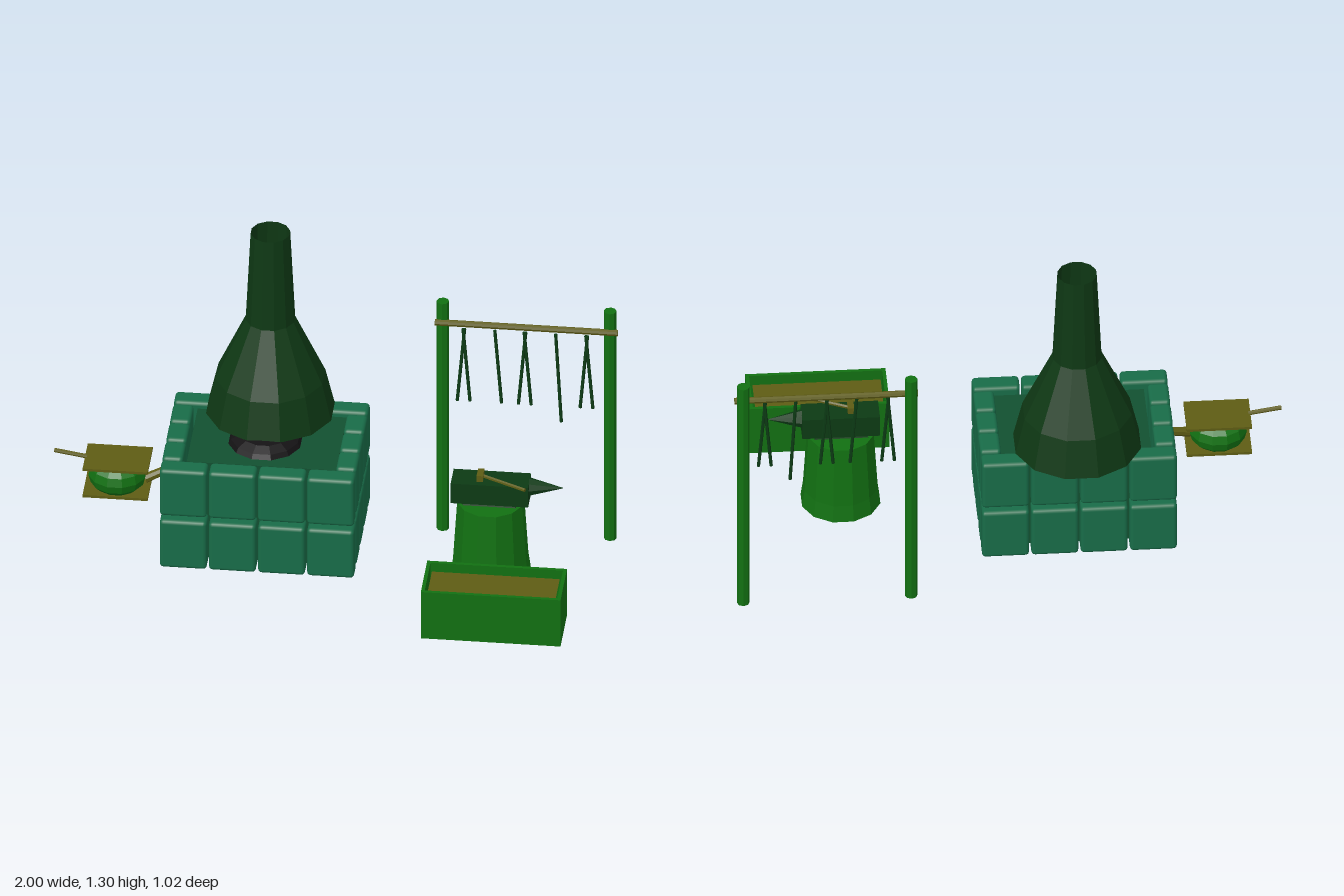
import * as THREE from 'three';
import { RoundedBoxGeometry } from 'three/addons/geometries/RoundedBoxGeometry.js';

const mat = (color, opts = {}) => {
  const m = new THREE.MeshStandardMaterial({ color });
  return Object.assign(m, opts);
};
const V = (x, y, z) => new THREE.Vector3(x, y, z);

export function createModel() {
  const root = new THREE.Group();
  const stone = mat(0x186c48);
  const wood = mat(0x127012, { flatShading: true });
  const plank = mat(0x5e5c14, { flatShading: true });
  const metal = mat(0x0c3a14, { flatShading: true });
  const hoodMat = mat(0x0e3814, { flatShading: true, side: THREE.DoubleSide });
  const coalMat = mat(0x141214, { flatShading: true });

  const group = (name) => {
    const g = new THREE.Group();
    g.name = name;
    root.add(g);
    return g;
  };
  const add = (parent, name, geo, material, x = 0, y = 0, z = 0) => {
    const m = new THREE.Mesh(geo, material);
    m.name = name;
    m.position.set(x, y, z);
    parent.add(m);
    return m;
  };
  // box given by its minimum and maximum corners
  const span = (parent, name, a, b, material, round = 0) => {
    const s = a.map((v, i) => b[i] - v);
    const geo = round ? new RoundedBoxGeometry(...s, 2, round) : new THREE.BoxGeometry(...s);
    return add(parent, name, geo, material, ...a.map((v, i) => (v + b[i]) / 2));
  };
  // round bar between two points
  const rod = (parent, name, a, b, r0, r1, material, sides = 8) => {
    const d = b.clone().sub(a);
    const m = add(parent, name, new THREE.CylinderGeometry(r1, r0, d.length(), sides), material);
    m.position.copy(a).add(b).multiplyScalar(0.5);
    m.quaternion.setFromUnitVectors(V(0, 1, 0), d.normalize());
    return m;
  };
  // turned shape from [radius, height] pairs
  const turned = (parts, sides) =>
    new THREE.LatheGeometry(parts.map((p) => new THREE.Vector2(...p)), sides, Math.PI / sides);

  // Hearth: two courses of rounded stones around a solid core
  const hearth = group('hearth');
  span(hearth, 'hearthCore', [-0.51, 0.12, -0.305], [0.03, 0.522, 0.05], mat(0x125030));
  for (const [y0, y1] of [[0.125, 0.325], [0.345, 0.54]]) {
    for (let i = 0; i < 4; i++) {
      const x = -0.598 + i * 0.1775;
      span(hearth, 'frontStone', [x, y0, 0.07], [x + 0.17, y1, 0.147], stone, 0.014);
      span(hearth, 'backStone', [x, y0, -0.39], [x + 0.17, y1, -0.315], stone, 0.014);
    }
    for (let i = 0; i < 3; i++) {
      const z = -0.306 + i * 0.125;
      span(hearth, 'leftStone', [0.03, y0, z], [0.105, y1, z + 0.118], stone, 0.014);
      span(hearth, 'rightStone', [-0.598, y0, z], [-0.523, y1, z + 0.118], stone, 0.014);
    }
  }

  // Heap of coal
  add(hearth, 'coal', turned([[0.135, 0], [0.125, 0.02], [0.09, 0.036], [0, 0.042]], 12),
    coalMat, -0.245, 0.52, -0.12);

  // Open smoke hood and chimney
  add(root, 'hood', turned([[0.234, 0.555], [0.2, 0.7], [0.09, 0.94], [0.072, 1.305]], 12),
    hoodMat, -0.245, 0, -0.287);

  // Bellows
  const bellows = group('bellows');
  for (const y of [0.345, 0.457]) {
    span(bellows, 'bellowsBoard', [-0.887, y - 0.005, -0.125], [-0.652, y + 0.005, 0.045], plank);
  }
  add(bellows, 'bellowsBag',
    turned([[0.075, 0.348], [0.098, 0.37], [0.106, 0.4], [0.098, 0.432], [0.075, 0.454]], 12),
    wood, -0.77, 0, -0.04);
  rod(bellows, 'bellowsHandle', V(-0.999, 0.48, -0.04), V(-0.88, 0.461, -0.04), 0.008, 0.008, plank);
  rod(bellows, 'bellowsNozzle', V(-0.67, 0.385, -0.035), V(-0.56, 0.425, -0.075), 0.018, 0.014, plank);

  // Stump
  const anvil = group('anvilStand');
  add(anvil, 'stump', turned([[0, 0.115], [0.146, 0.115], [0.137, 0.18], [0.122, 0.418], [0, 0.418]], 12),
    wood, 0.585, 0, 0.018);

  // Anvil: waisted foot, block and horn
  const foot = new THREE.CylinderGeometry(0.055, 0.07, 0.03, 4, 1);
  foot.rotateY(Math.PI / 4);
  foot.scale(2, 1, 1);
  add(anvil, 'anvilFoot', foot, metal, 0.585, 0.43, 0.02);
  span(anvil, 'anvilBlock', [0.446, 0.425, -0.03], [0.726, 0.508, 0.07], metal);
  rod(anvil, 'anvilHorn', V(0.725, 0.482, 0.018), V(0.847, 0.484, 0.018), 0.034, 0.001, metal, 8);

  // Hammer resting on the anvil
  const hammer = group('hammer');
  span(hammer, 'hammerHead', [0.537, 0.508, -0.003], [0.56, 0.533, 0.048], plank);
  rod(hammer, 'hammerHandle', V(0.54, 0.52, 0.015), V(0.718, 0.518, 0.1), 0.007, 0.007, plank, 6);

  // Tool rack
  const rack = group('toolRack');
  for (const x of [0.363, 0.968]) {
    add(rack, 'rackPost', new THREE.CylinderGeometry(0.023, 0.023, 0.967, 8), wood, x, 0.4835, -0.424);
  }
  rod(rack, 'rackRail', V(0.337, 0.888, -0.403), V(0.998, 0.888, -0.403), 0.012, 0.012, plank);
  for (const x of [0.443, 0.664, 0.887]) {
    for (const s of [-1, 1]) {
      rod(rack, 'tongsArm', V(x - s * 0.003, 0.878, -0.387), V(x + s * 0.023, 0.575, -0.381),
        0.006, 0.006, metal, 6);
    }
  }
  rod(rack, 'poker', V(0.555, 0.878, -0.387), V(0.58, 0.575, -0.381), 0.006, 0.006, metal, 6);
  rod(rack, 'longPoker', V(0.775, 0.878, -0.387), V(0.796, 0.51, -0.381), 0.006, 0.006, metal, 6);

  // Water trough: walls, thin floor seen from below, and the water
  const trough = group('trough');
  for (const z of [0.3, 0.498]) {
    span(trough, 'troughLongWall', [0.387, 0.125, z], [0.892, 0.322, z + 0.013], wood);
  }
  for (const x of [0.387, 0.879]) {
    span(trough, 'troughEndWall', [x, 0.125, 0.313], [x + 0.013, 0.322, 0.498], wood);
  }
  const floor = add(trough, 'troughFloor', new THREE.PlaneGeometry(0.505, 0.211), wood, 0.6395, 0.125, 0.4055);
  floor.rotation.x = Math.PI / 2;
  const water = add(trough, 'water', new THREE.PlaneGeometry(0.462, 0.166), plank, 0.637, 0.29, 0.404);
  water.rotation.x = -Math.PI / 2;

  return root;
}
